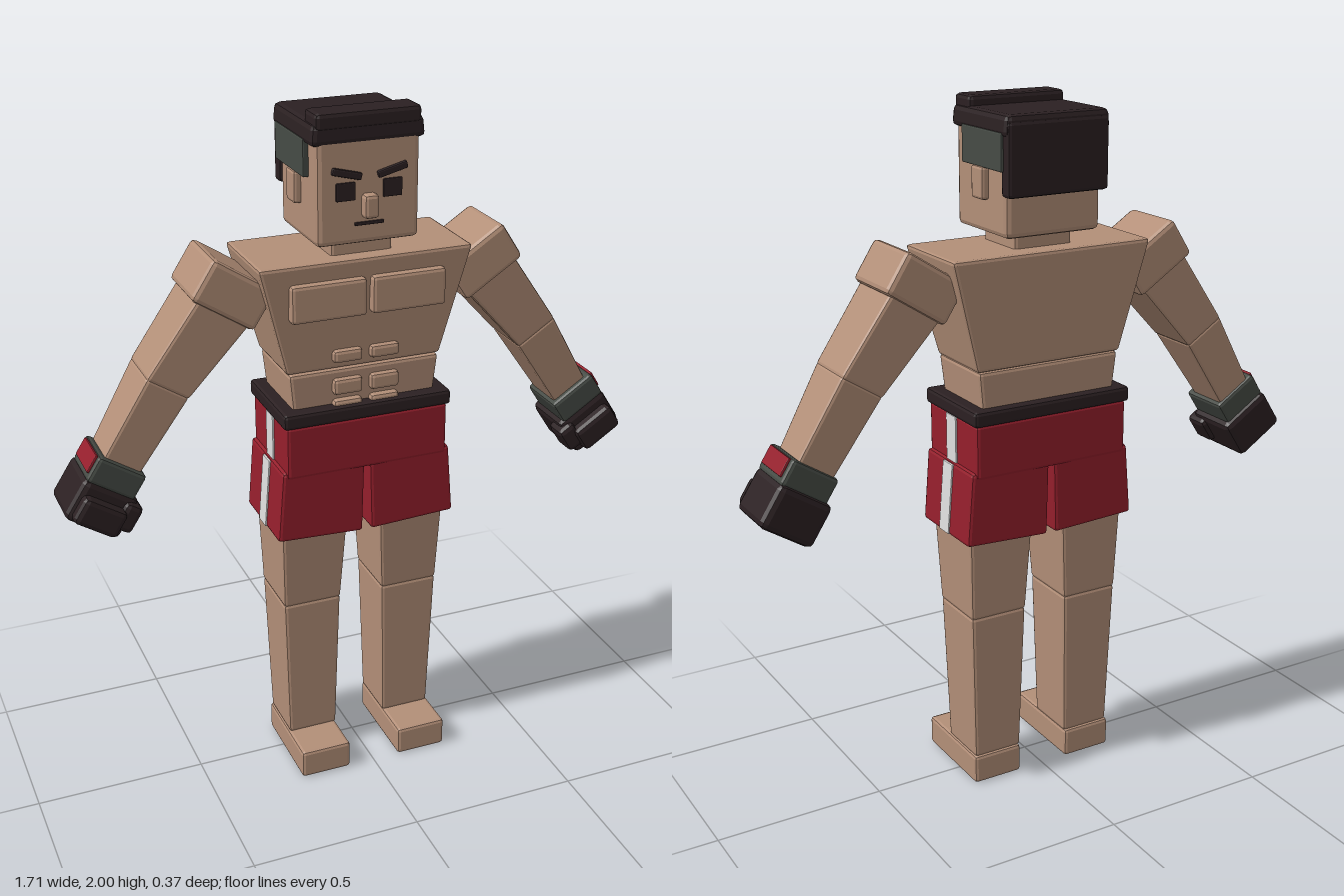
import * as THREE from 'three';
import { RoundedBoxGeometry } from 'three/addons/geometries/RoundedBoxGeometry.js';

const material = (name, color) => {
  const m = new THREE.MeshStandardMaterial({ color });
  m.name = name;
  return m;
};

export function createModel() {
  const skin = material('skin', 0xb38f78);
  const red = material('red cloth', 0x951f2c);
  const dark = material('dark hair and leather', 0x2b2022);
  const green = material('grey green', 0x464b45);
  const white = material('white stripe', 0xdedede);

  const model = new THREE.Group();
  model.name = 'boxer';

  // Chamfered block from y0 to y1; each section is [xMin, xMax, zMin, zMax].
  function block(parent, name, mat, y0, a, y1, b = a, bevel = 0.01) {
    const w = Math.max(a[1] - a[0], b[1] - b[0]);
    const d = Math.max(a[3] - a[2], b[3] - b[2]);
    const h = y1 - y0;
    const r = Math.min(bevel, 0.3 * Math.min(w, h, d));
    const geo = new RoundedBoxGeometry(w, h, d, 1, r);
    const p = geo.attributes.position;
    for (let i = 0; i < p.count; i++) {
      const t = p.getY(i) / h + 0.5;
      const s = a.map((v, k) => THREE.MathUtils.lerp(v, b[k], t));
      p.setXYZ(i,
        (s[0] + s[1]) / 2 + (p.getX(i) / w) * (s[1] - s[0]),
        y0 + t * h,
        (s[2] + s[3]) / 2 + (p.getZ(i) / d) * (s[3] - s[2]));
    }
    geo.computeVertexNormals();
    const mesh = new THREE.Mesh(geo, mat);
    mesh.name = name;
    parent.add(mesh);
    return mesh;
  }

  function pivot(name, x, y, angle) {
    const g = new THREE.Group();
    g.name = name;
    g.position.set(x, y, 0);
    g.rotation.z = angle;
    model.add(g);
    return g;
  }

  // Torso
  block(model, 'neck', skin, 1.58, [-0.09, 0.09, -0.1, 0.07], 1.66);
  block(model, 'chest', skin, 1.283, [-0.228, 0.228, -0.14, 0.092], 1.602, [-0.312, 0.312, -0.163, 0.118]);
  block(model, 'waist', skin, 1.15, [-0.21, 0.21, -0.135, 0.092], 1.283, [-0.224, 0.224, -0.14, 0.098]);

  // Shorts
  block(model, 'waistband', dark, 1.135, [-0.252, 0.252, -0.164, 0.13], 1.18);
  block(model, 'shortsTop', red, 0.98, [-0.243, 0.243, -0.157, 0.124], 1.14);

  // Head and hair
  block(model, 'head', skin, 1.642, [-0.147, 0.147, -0.155, 0.118], 1.94, undefined, 0.015);
  block(model, 'nose', skin, 1.715, [-0.021, 0.021, 0.1, 0.146], 1.78);
  block(model, 'mouth', dark, 1.695, [-0.042, 0.042, 0.117, 0.125], 1.704);
  block(model, 'hairCap', dark, 1.913, [-0.163, 0.163, -0.18, 0.122], 1.972, [-0.157, 0.157, -0.18, 0.12], 0.015);
  block(model, 'hairQuiff', dark, 1.95, [-0.15, 0.15, 0.035, 0.122], 2.0, undefined, 0.012);
  block(model, 'hairBack', dark, 1.755, [-0.156, 0.156, -0.183, -0.14], 1.955);

  for (const s of [-1, 1]) {
    const side = s > 0 ? 'left' : 'right';
    // Mirrors a section for the right side
    const m = (x0, x1, z0, z1) => (s > 0 ? [x0, x1, z0, z1] : [-x1, -x0, z0, z1]);

    // Face and side hair
    block(model, side + 'Eye', dark, 1.765, m(0.04, 0.094, 0.116, 0.124), 1.814);
    const brow = pivot(side + 'BrowPivot', s * 0.065, 1.838, s * 0.25);
    block(brow, side + 'Brow', dark, -0.01, m(-0.043, 0.043, 0.116, 0.13), 0.01);
    block(model, side + 'Ear', skin, 1.735, m(0.14, 0.168, -0.06, 0.002), 1.825);
    block(model, side + 'Sideburn', green, 1.822, m(0.14, 0.163, -0.155, 0.06), 1.925, undefined, 0.004);

    // Chest and stomach muscles
    block(model, side + 'Pectoral', skin, 1.443, m(0.008, 0.226, 0.08, 0.135), 1.55);
    for (const [y0, y1] of [[1.305, 1.342], [1.21, 1.257], [1.15, 1.195]])
      block(model, side + 'Abdominal', skin, y0, m(0.012, 0.098, 0.08, 0.114), y1);

    // Shorts leg with side stripes
    block(model, side + 'StripeTop', white, 0.985, m(0.24, 0.248, -0.04, 0.015), 1.135, undefined, 0.002);
    const hem = pivot(side + 'ShortsLegPivot', s * 0.138, 0.89, s * 0.045);
    block(hem, side + 'ShortsLeg', red, -0.11, m(-0.13, 0.13, -0.152, 0.119), 0.105, m(-0.126, 0.122, -0.152, 0.119));
    block(hem, side + 'StripeBottom', white, -0.106, m(0.126, 0.134, -0.04, 0.015), 0.1, m(0.119, 0.127, -0.04, 0.015), 0.002);

    // Leg
    block(model, side + 'Thigh', skin, 0.54, m(0.066, 0.243, -0.118, 0.074), 0.9, m(0.045, 0.255, -0.135, 0.1));
    block(model, side + 'Shin', skin, 0.085, m(0.078, 0.229, -0.104, 0.061), 0.545, m(0.066, 0.243, -0.118, 0.074));
    block(model, side + 'Foot', skin, 0, m(0.079, 0.234, -0.11, 0.182), 0.088);

    // Arm hangs down the local -y axis of the shoulder
    const arm = pivot(side + 'Arm', s * 0.368, 1.53, s * 0.575);
    block(arm, side + 'Shoulder', skin, -0.063, m(-0.102, 0.102, -0.125, 0.087), 0.063, undefined, 0.014);
    block(arm, side + 'UpperArm', skin, -0.31, m(-0.043, 0.092, -0.108, 0.065), -0.04, m(-0.088, 0.082, -0.115, 0.078));
    block(arm, side + 'Forearm', skin, -0.57, m(-0.036, 0.08, -0.09, 0.045), -0.302, m(-0.043, 0.092, -0.108, 0.065));

    // Glove
    block(arm, side + 'Cuff', green, -0.63, m(-0.05, 0.1, -0.1, 0.066), -0.552);
    block(arm, side + 'CuffStrap', red, -0.61, m(0.098, 0.107, -0.08, 0.048), -0.556, undefined, 0.003);
    block(arm, side + 'Fist', dark, -0.752, m(-0.068, 0.103, -0.112, 0.068), -0.622, undefined, 0.018);
    block(arm, side + 'Knuckles', dark, -0.742, m(-0.045, 0.09, 0.03, 0.102), -0.66, undefined, 0.015);
    block(arm, side + 'Thumb', dark, -0.72, m(-0.085, -0.03, 0.005, 0.085), -0.635, undefined, 0.015);
  }
  return model;
}
